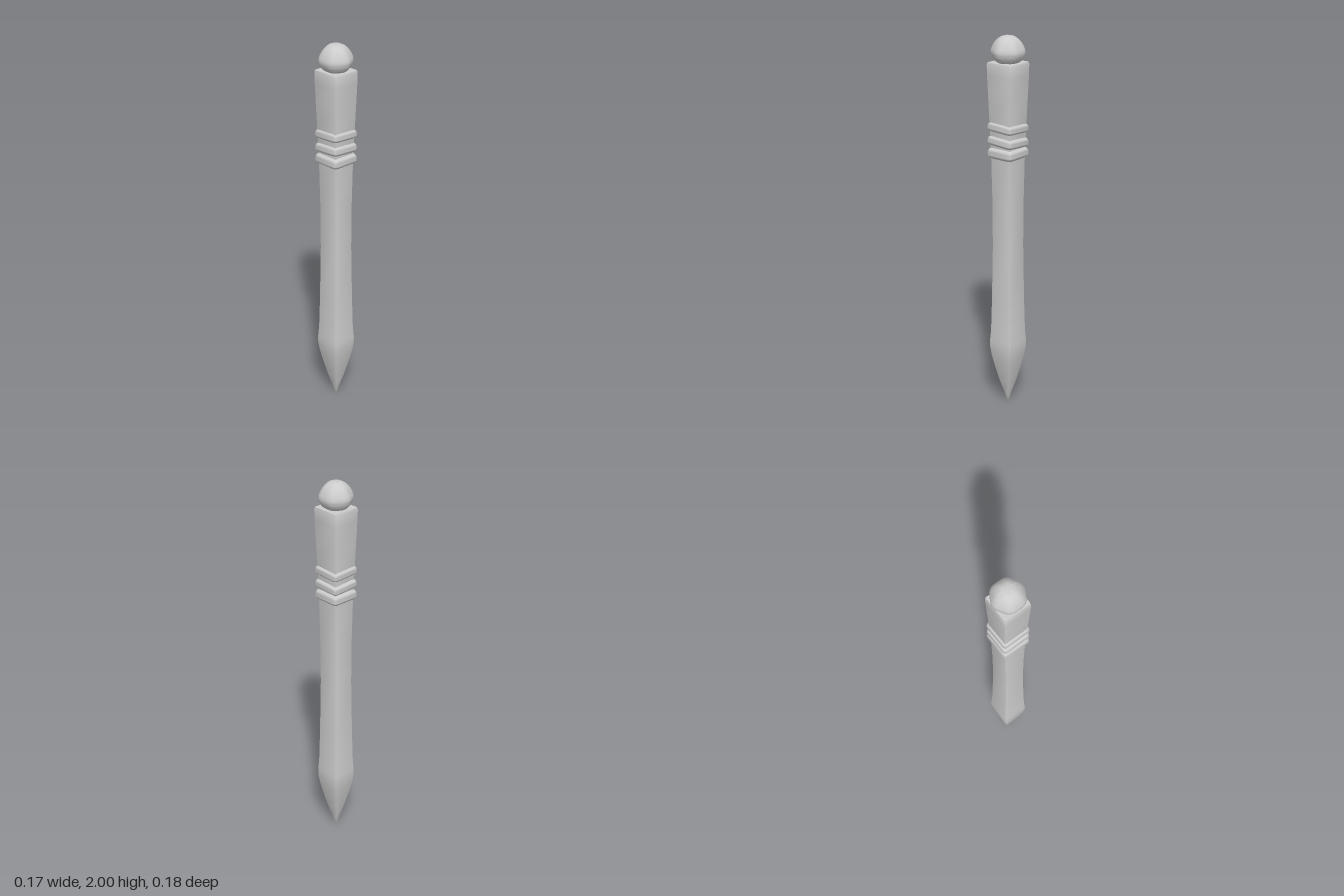
import * as THREE from 'three';
import { toCreasedNormals } from 'three/addons/utils/BufferGeometryUtils.js';

const material = new THREE.MeshStandardMaterial({ color: 0xcccccc });

// Outline of a rounded square, starting at the +x side and running towards +z
function roundedSquare(half, radius, steps) {
  const points = [];
  for (let corner = 0; corner < 4; corner++) {
    const mid = (corner + 0.5) * Math.PI / 2;
    const cx = Math.sign(Math.cos(mid)) * (half - radius);
    const cz = Math.sign(Math.sin(mid)) * (half - radius);
    for (let i = 0; i <= steps; i++) {
      const a = (corner + i / steps) * Math.PI / 2;
      points.push([cx + radius * Math.cos(a), cz + radius * Math.sin(a)]);
    }
  }
  return points;
}

// Skin over square sections given as [y, half width, corner radius], bottom to top
function squareLoft(sections, steps, crease) {
  const count = 4 * (steps + 1);
  const positions = [], index = [];
  for (const [y, half, radius] of sections) {
    for (const [x, z] of roundedSquare(half, radius, steps)) positions.push(x, y, z);
  }
  for (let r = 0; r < sections.length - 1; r++) {
    for (let i = 0; i < count; i++) {
      const a = r * count + i, b = r * count + (i + 1) % count;
      index.push(a, a + count, b, b, a + count, b + count);
    }
  }
  // Caps at both ends
  const last = (sections.length - 1) * count;
  positions.push(0, sections[0][0], 0, 0, sections[sections.length - 1][0], 0);
  const bottom = last + count, top = bottom + 1;
  for (let i = 0; i < count; i++) {
    const j = (i + 1) % count;
    index.push(bottom, i, j, top, last + j, last + i);
  }
  const geometry = new THREE.BufferGeometry();
  geometry.setAttribute('position', new THREE.Float32BufferAttribute(positions, 3));
  geometry.setIndex(index);
  return toCreasedNormals(geometry, crease);
}

function addPart(group, name, geometry) {
  const mesh = new THREE.Mesh(geometry, material);
  mesh.name = name;
  group.add(mesh);
  return mesh;
}

export function createModel() {
  const group = new THREE.Group();
  group.name = 'stake';

  // Square shaft: pointed foot, slim middle, handle flaring to the top
  const profile = [
    [0, 0.002], [0.015, 0.007], [0.06, 0.019], [0.12, 0.034], [0.2, 0.051], [0.27, 0.064],
    [0.32, 0.07], [0.36, 0.07], [0.42, 0.066], [0.6, 0.062], [0.9, 0.058], [1.15, 0.059],
    [1.4, 0.063], [1.55, 0.068], [1.7, 0.073], [1.8, 0.076], [1.855, 0.077], [1.865, 0.074],
  ].map(([y, half]) => [y, half, Math.min(0.006, half * 0.4)]);
  addPart(group, 'shaft', squareLoft(profile, 2, 0.6));

  // Three rounded bands around the grip, the upper two sitting slightly askew
  const bands = [[1.4, 0, 0.03], [1.46, 0.06, 0.027], [1.533, 0.05, 0.027]];
  bands.forEach(([y, tilt, thick], i) => {
    const sections = [];
    for (let k = 0; k <= 10; k++) {
      const a = (k / 10 - 0.5) * Math.PI;
      sections.push([thick * Math.sin(a), 0.055 + 0.025 * Math.cos(a), 0.018]);
    }
    const band = addPart(group, `gripBand${i + 1}`, squareLoft(sections, 5, 1));
    band.position.y = y;
    band.rotation.set(-tilt, 0, -tilt);
  });

  // Knob: a turned dome pulled gently towards six sides
  const knobCurve = new THREE.SplineCurve([
    [0.045, 1.86], [0.064, 1.872], [0.079, 1.893], [0.0855, 1.918], [0.077, 1.946],
    [0.058, 1.975], [0.032, 1.994], [0, 2],
  ].map(([r, y]) => new THREE.Vector2(r, y)));
  const profilePoints = knobCurve.getPoints(24);
  profilePoints.forEach((p) => { p.x = Math.max(p.x, 0); });
  const knob = new THREE.LatheGeometry(profilePoints, 36);
  const pos = knob.attributes.position;
  for (let i = 0; i < pos.count; i++) {
    const x = pos.getX(i), z = pos.getZ(i);
    const scale = 1 + 0.03 * Math.cos(6 * Math.atan2(x, z));
    pos.setX(i, x * scale);
    pos.setZ(i, z * scale);
  }
  addPart(group, 'knob', toCreasedNormals(knob, 0.7));

  return group;
}
